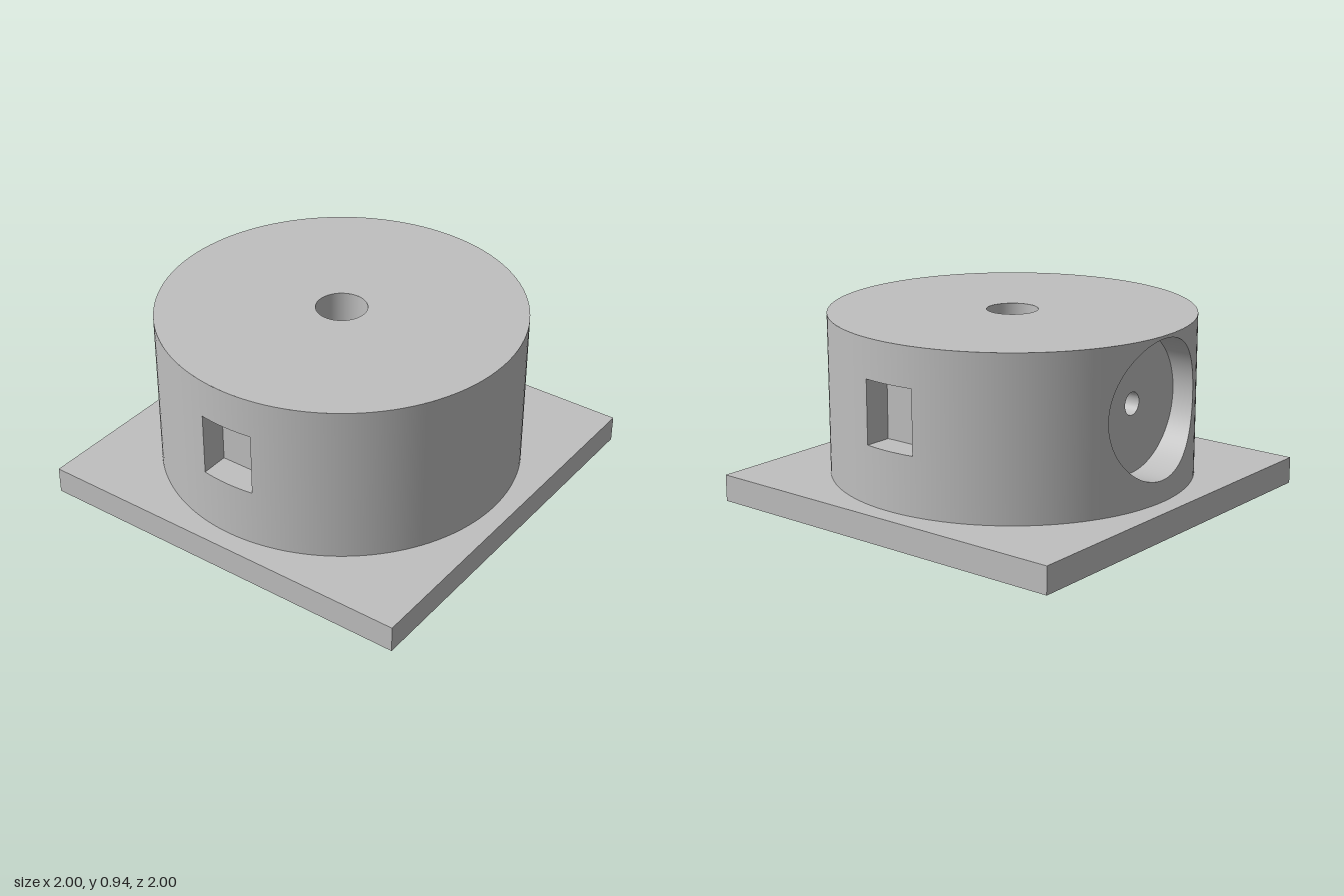
import * as THREE from 'three';
import { ParametricGeometry } from 'three/addons/geometries/ParametricGeometry.js';

const R = 0.9, BASE = 0.134, TOP = 0.936; // drum radius, plate top, drum top
const MID = 0.582;                        // height of the side openings
const BORE = 0.126;                       // radius of the central bore

export function createModel() {
  const model = new THREE.Group();
  model.name = 'drumOnPlate';
  const grey = new THREE.MeshStandardMaterial({ color: 0xbfbfbf });
  grey.name = 'grey';

  const add = (parent, name, geometry) => {
    const mesh = new THREE.Mesh(geometry, grey);
    mesh.name = name;
    parent.add(mesh);
    return mesh;
  };
  const panel = (parent, name, point, n) =>
    add(parent, name, new ParametricGeometry((u, v, p) => p.set(...point(u, v)), n, 1));
  const lerp = THREE.MathUtils.lerp;
  const onDrum = (x) => Math.sqrt(R * R - x * x);

  // Upright strip of the drum wall between two heights
  const wall = (parent, angle, low, high, n) => panel(parent, 'drumWall', (u, v) => {
    const a = angle(u);
    return [R * Math.sin(a), lerp(low(u), high(u), v), R * Math.cos(a)];
  }, n);

  // Inner side of a recess, running from a front outline to a flat depth
  const rim = (parent, name, outline, front, depth, n) => panel(parent, name, (u, v) => {
    const [x, y] = outline(u);
    return [x, y, lerp(front(x), depth, v)];
  }, n);
  const circle = (r) => (u) =>
    [r * Math.cos(u * 2 * Math.PI), MID + r * Math.sin(u * 2 * Math.PI)];

  // Base plate
  add(model, 'basePlate', new THREE.BoxGeometry(2, BASE, 2)).position.y = BASE / 2;

  // Drum top with its central bore
  const lid = add(model, 'drumTop', new THREE.RingGeometry(BORE, R, 128));
  lid.rotation.x = -Math.PI / 2;
  lid.position.y = TOP;
  panel(model, 'centralBore', (u, v) => {
    const a = -u * 2 * Math.PI;
    return [BORE * Math.sin(a), lerp(BASE, TOP, v), BORE * Math.cos(a)];
  }, 48);
  const boreFloor = add(model, 'boreFloor', new THREE.CircleGeometry(BORE, 48));
  boreFloor.rotation.x = -Math.PI / 2;
  boreFloor.position.y = BASE + 0.002;

  // Square pockets in the front and back
  const W = 0.139, H = 0.158, squareDepth = 0.75;
  const a1 = Math.asin(W / R);
  for (const turn of [0, Math.PI]) {
    const pocket = new THREE.Group();
    pocket.name = 'squarePocket';
    pocket.rotation.y = turn;
    model.add(pocket);
    const angle = (u) => lerp(-a1, a1, u);
    wall(pocket, angle, () => BASE, () => MID - H, 8);
    wall(pocket, angle, () => MID + H, () => TOP, 8);
    const corners = [[-W, MID - H], [W, MID - H], [W, MID + H], [-W, MID + H]];
    corners.forEach((p, i) => {
      const q = corners[(i + 1) % 4];
      rim(pocket, 'pocketSide', (u) => [lerp(p[0], q[0], u), lerp(p[1], q[1], u)],
        onDrum, squareDepth, 8);
    });
    add(pocket, 'pocketBack', new THREE.PlaneGeometry(2 * W, 2 * H))
      .position.set(0, MID, squareDepth);
  }

  // Round recess in the right side, with a small hole in its floor
  const r = 0.34, hole = 0.056, roundDepth = 0.72, holeEnd = 0.45;
  const a2 = Math.asin(r / R);
  const recess = new THREE.Group();
  recess.name = 'roundRecess';
  recess.rotation.y = -Math.PI / 2;
  model.add(recess);
  const sweep = (u) => Math.asin(-r * Math.cos(u * Math.PI) / R);
  const rise = (u) => r * Math.sin(u * Math.PI);
  wall(recess, sweep, () => BASE, (u) => MID - rise(u), 48);
  wall(recess, sweep, (u) => MID + rise(u), () => TOP, 48);
  rim(recess, 'recessSide', circle(r), onDrum, roundDepth, 96);
  add(recess, 'recessFloor', new THREE.RingGeometry(hole, r, 96))
    .position.set(0, MID, roundDepth);
  rim(recess, 'smallHole', circle(hole), () => roundDepth, holeEnd, 32);
  add(recess, 'smallHoleEnd', new THREE.CircleGeometry(hole, 32))
    .position.set(0, MID, holeEnd);

  // Plain drum wall between the openings
  const arcs = [
    [a1, Math.PI - a1],
    [Math.PI + a1, 1.5 * Math.PI - a2],
    [1.5 * Math.PI + a2, 2 * Math.PI - a1],
  ];
  for (const [from, to] of arcs) {
    wall(model, (u) => lerp(from, to, u), () => BASE, () => TOP, Math.ceil((to - from) * 22));
  }
  return model;
}
